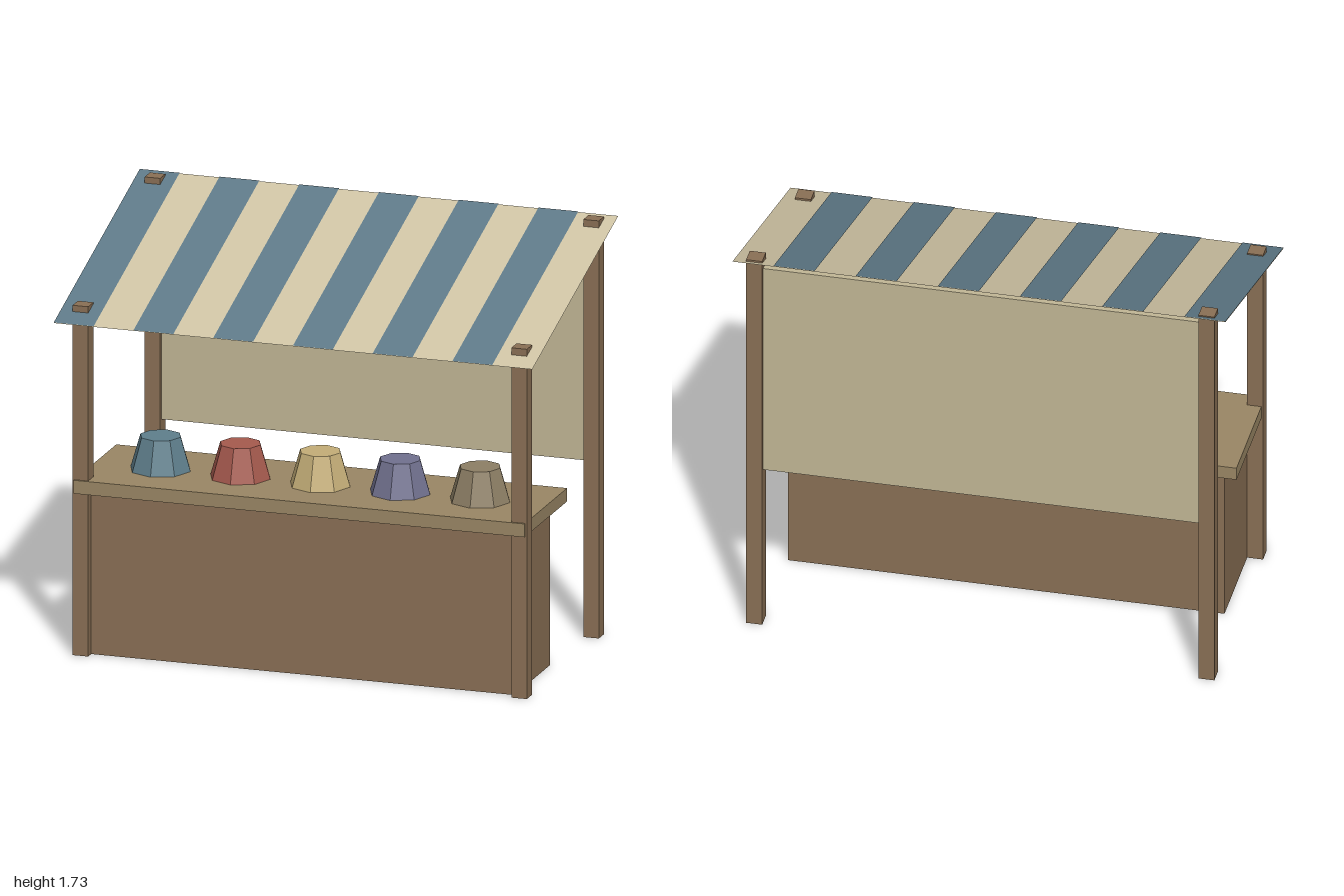
import * as THREE from 'three';

const mat = (color, extra = {}) => new THREE.MeshStandardMaterial({ color, flatShading: true, ...extra });

export function createModel() {
  const stall = new THREE.Group();
  stall.name = 'marketStall';

  const wood = mat(0x8a7055);
  const topWood = mat(0x9a8765);
  const cloth = mat(0xcfc3a4, { side: THREE.DoubleSide });
  const blueCloth = mat(0x5f7a88);
  const backCloth = mat(0xc2b796);

  const add = (parent, name, geometry, material, x, y, z) => {
    const mesh = new THREE.Mesh(geometry, material);
    mesh.name = name;
    mesh.position.set(x, y, z);
    parent.add(mesh);
    return mesh;
  };
  const box = (name, material, w, h, d, x, y, z) =>
    add(stall, name, new THREE.BoxGeometry(w, h, d), material, x, y, z);

  // Corner posts, taller at the back
  for (const side of [-1, 1]) {
    box('frontPost', wood, 0.065, 1.445, 0.065, side * 0.917, 0.7225, 0.415);
    box('backPost', wood, 0.065, 1.725, 0.065, side * 0.917, 0.8625, -0.472);
  }

  // Counter body and worktop
  box('counterBody', wood, 1.77, 0.67, 0.44, 0, 0.335, 0.19);
  box('counterTop', topWood, 1.885, 0.055, 0.525, 0, 0.6975, 0.193);

  // Cloth panel hung between the back posts
  box('backPanel', backCloth, 1.77, 0.955, 0.028, 0, 1.2025, -0.472);

  // Sloping awning: one plain sheet with blue stripes on top
  const rise = 0.335, run = 1.06, length = Math.hypot(rise, run);
  const awning = new THREE.Group();
  awning.name = 'awning';
  awning.position.set(0, 1.39 + rise / 2, 0);
  awning.rotation.x = Math.atan2(rise, run);
  stall.add(awning);
  const sheet = (w) => new THREE.PlaneGeometry(w, length).rotateX(-Math.PI / 2);
  add(awning, 'awningSheet', sheet(2), cloth, 0, 0, 0);
  const stripe = 2 / 12;
  for (let i = 0; i < 12; i += 2) {
    add(awning, 'awningStripe', sheet(stripe), blueCloth, -1 + (i + 0.5) * stripe, 0.003, 0);
  }

  // Row of tapered eight-sided goods on the counter
  const goods = new THREE.CylinderGeometry(0.084, 0.125, 0.138, 8);
  [0x5f7f8c, 0xa65a4e, 0xc4ae78, 0x71718f, 0x8d7f65].forEach((color, i) => {
    add(stall, 'goods', goods, mat(color), (i - 2) * 0.334, 0.794, 0.193);
  });

  return stall;
}
